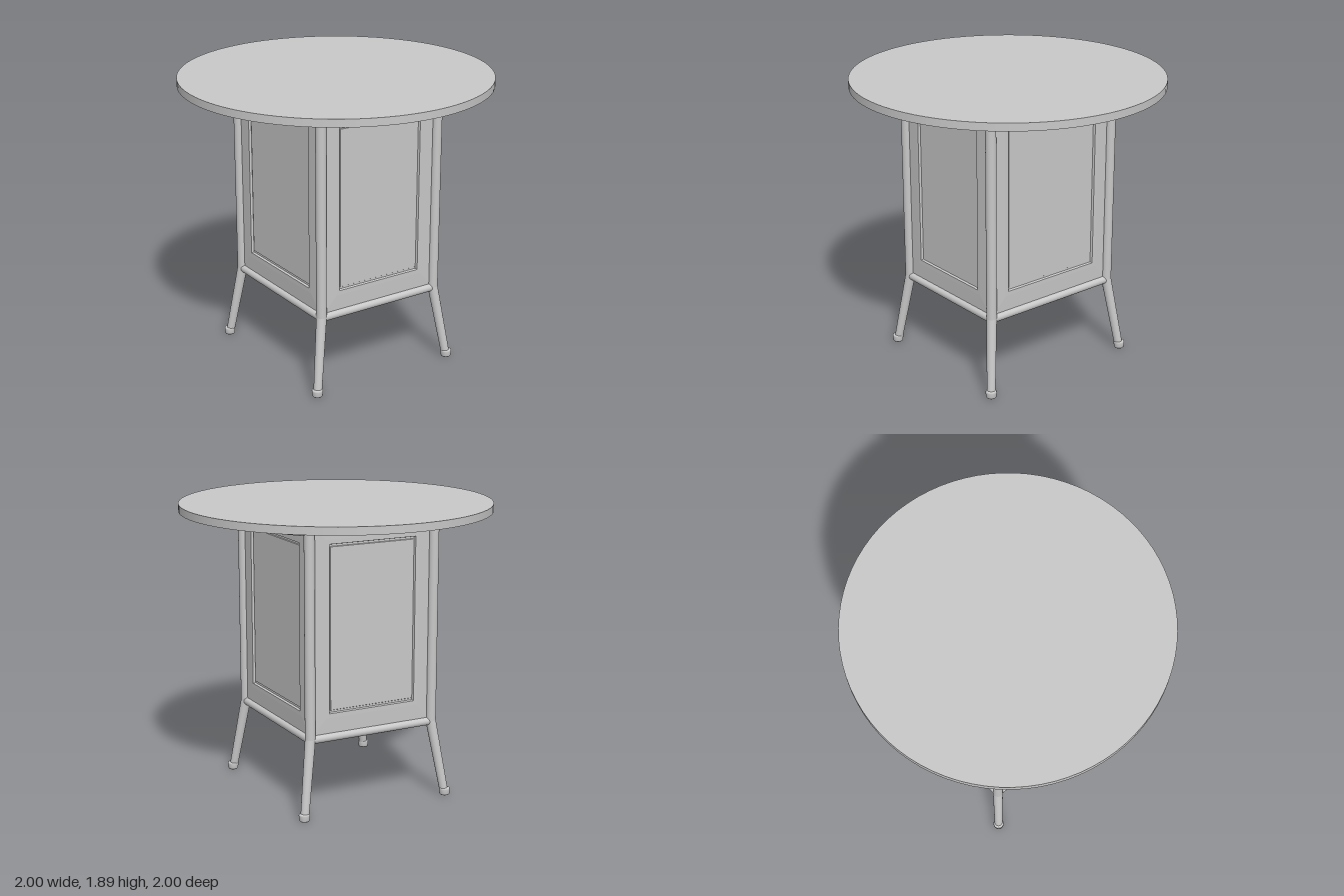
import * as THREE from 'three';

const PX = 0.435, PZ = 0.485;   // post centres
const POST_R = 0.033, BASE_Y = 0.495, TOP_Y = 1.84;

// Round bar between two points
function rod(a, b, rStart, rEnd, mat, name) {
  const from = new THREE.Vector3(...a), to = new THREE.Vector3(...b);
  const dir = to.clone().sub(from);
  const mesh = new THREE.Mesh(new THREE.CylinderGeometry(rEnd, rStart, dir.length(), 24), mat);
  mesh.position.copy(from).add(to).multiplyScalar(0.5);
  mesh.quaternion.setFromUnitVectors(new THREE.Vector3(0, 1, 0), dir.normalize());
  mesh.name = name;
  return mesh;
}

// Moulded panel facing +z: nested rectangles, each [half width, bottom, top, depth]
function panelGeometry(halfWidth) {
  const w = halfWidth;
  const loops = [
    [w, 0.495, 1.84, 0],
    [w - 0.11, 0.62, 1.74, 0.004],
    [w - 0.133, 0.648, 1.712, 0.004],
    [w - 0.137, 0.652, 1.708, -0.012],
    [w - 0.144, 0.664, 1.696, -0.012],
    [w - 0.147, 0.667, 1.693, -0.007],
  ].map(([x, y0, y1, z]) => [[-x, y0, z], [x, y0, z], [x, y1, z], [-x, y1, z]]);
  const pos = [];
  const quad = (a, b, c, d) => pos.push(...a, ...b, ...c, ...a, ...c, ...d);
  for (let i = 0; i < loops.length - 1; i++) {
    for (let k = 0; k < 4; k++) {
      const n = (k + 1) % 4;
      quad(loops[i][k], loops[i][n], loops[i + 1][n], loops[i + 1][k]);
    }
  }
  quad(...loops[loops.length - 1]);
  const geo = new THREE.BufferGeometry();
  geo.setAttribute('position', new THREE.Float32BufferAttribute(pos, 3));
  geo.computeVertexNormals();
  return geo;
}

export function createModel() {
  const group = new THREE.Group();
  group.name = 'pedestalTable';
  const grey = new THREE.MeshStandardMaterial({ color: 0xc8c8c8 });
  grey.name = 'light grey';

  const add = (geo, name, x = 0, y = 0, z = 0) => {
    const mesh = new THREE.Mesh(geo, grey);
    mesh.name = name;
    mesh.position.set(x, y, z);
    group.add(mesh);
    return mesh;
  };

  // Round table top
  add(new THREE.CylinderGeometry(1, 1, 0.05, 80), 'tableTop', 0, 1.865, 0);

  // Cabinet floor
  const floor = add(new THREE.PlaneGeometry(PX * 2, PZ * 2), 'cabinetFloor', 0, BASE_Y, 0);
  floor.rotation.x = Math.PI / 2;

  // Four moulded panels
  const wide = panelGeometry(PZ), narrow = panelGeometry(PX);
  add(narrow, 'frontPanel', 0, 0, PZ);
  add(narrow, 'backPanel', 0, 0, -PZ).rotation.y = Math.PI;
  add(wide, 'leftPanel', PX, 0, 0).rotation.y = Math.PI / 2;
  add(wide, 'rightPanel', -PX, 0, 0).rotation.y = -Math.PI / 2;

  // Corner posts, splayed legs and feet
  const footProfile = [[0, 0], [0.028, 0], [0.033, 0.006], [0.036, 0.038], [0.033, 0.046], [0, 0.05]]
    .map(([r, y]) => new THREE.Vector2(r, y));
  const footGeo = new THREE.LatheGeometry(footProfile, 24);
  for (const sx of [-1, 1]) {
    for (const sz of [-1, 1]) {
      const knee = [sx * PX, 0.5, sz * PZ];
      group.add(rod(knee, [sx * PX, TOP_Y, sz * PZ], POST_R, POST_R, grey, 'cornerPost'));
      group.add(rod([sx * 0.507, 0.02, sz * 0.548], knee, 0.027, POST_R, grey, 'splayedLeg'));
      add(new THREE.SphereGeometry(POST_R, 24, 12), 'legJoint', ...knee);
      add(footGeo, 'foot', sx * 0.51, 0, sz * 0.55);
    }
  }

  // Bottom rails
  for (const s of [-1, 1]) {
    group.add(rod([-PX, BASE_Y, s * PZ], [PX, BASE_Y, s * PZ], 0.026, 0.026, grey, 'bottomRail'));
    group.add(rod([s * PX, BASE_Y, -PZ], [s * PX, BASE_Y, PZ], 0.026, 0.026, grey, 'bottomRail'));
  }

  // Support battens with clipped outer corners under the top
  const outline = new THREE.Shape([
    [0.5, -0.56], [0.535, -0.56], [0.605, -0.46], [0.605, 0.46], [0.535, 0.56], [0.5, 0.56],
  ].map(([x, z]) => new THREE.Vector2(x, z)));
  const battenGeo = new THREE.ExtrudeGeometry(outline, {
    depth: 0.032, bevelEnabled: true, bevelThickness: 0.008, bevelSize: 0.01, bevelSegments: 1,
  });
  battenGeo.rotateX(Math.PI / 2);
  add(battenGeo, 'supportBatten', 0, 1.834, 0);
  add(battenGeo, 'supportBatten', 0, 1.834, 0).rotation.y = Math.PI;

  return group;
}
